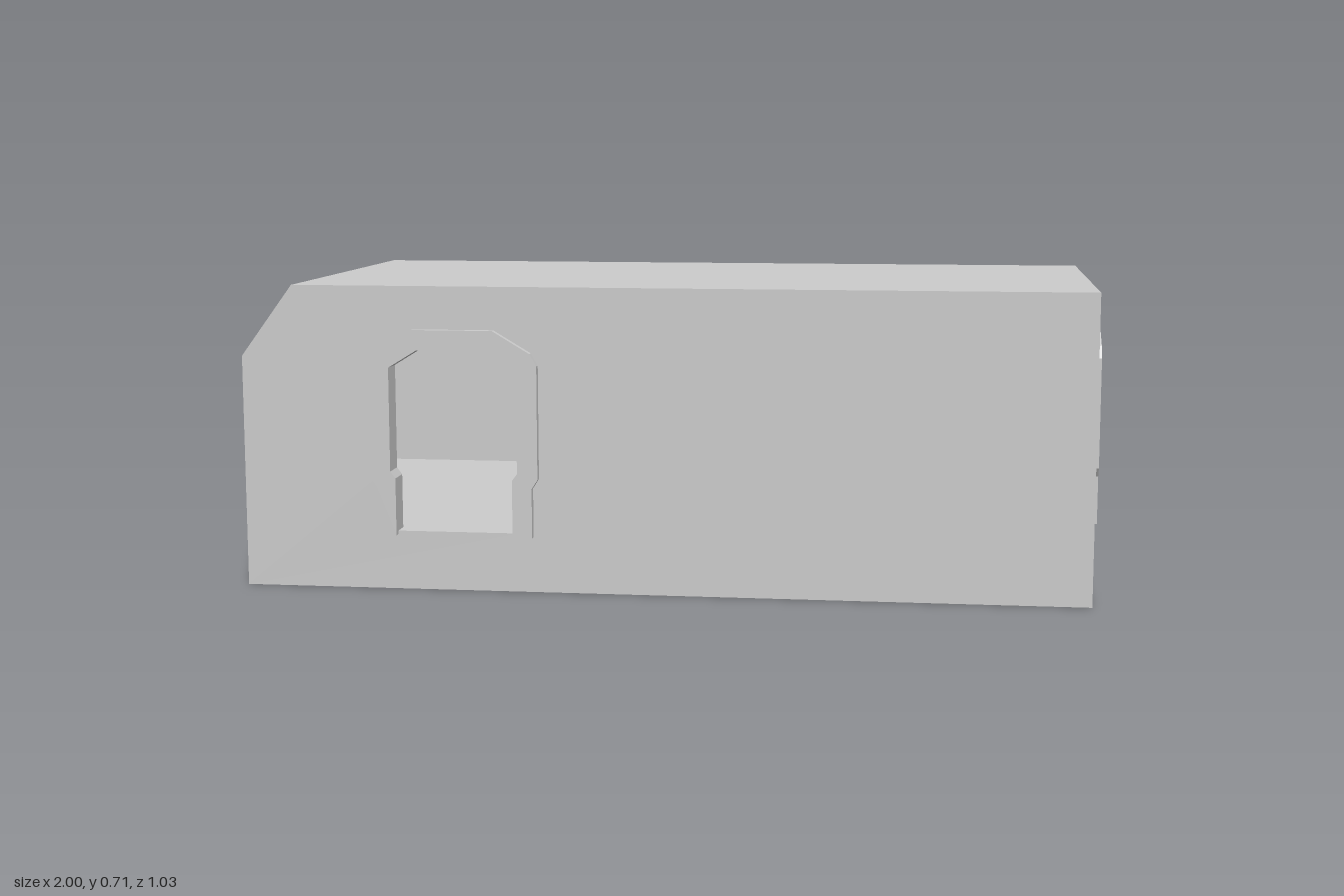
import * as THREE from 'three';

const material = new THREE.MeshStandardMaterial({ color: 0xcccccc, flatShading: true, side: THREE.DoubleSide });

// Main planes of the building
const LEFT = 0.97, RIGHT = -1, FRONT = 0.496, BACK = -0.513;
const TOP = 0.712, EAVE = 0.545, FLOOR = 0.138;
const RIDGE_X = -0.877, RIDGE_Z = -0.393;

// Half outlines of the doorway frame, [half width, height], from foot to crown
const OUTER = [[0.184, 0.13], [0.184, 0.246], [0.198, 0.268], [0.198, 0.532], [0.182, 0.56], [0.095, 0.612]];
const INNER = [[0.138, 0.13], [0.138, 0.265], [0.15, 0.281], [0.15, 0.524], [0.083, 0.565]];
const FRAME_DEPTH = 0.06;

const toShape = (pts, Type = THREE.Shape) => new Type(pts.map(([x, y]) => new THREE.Vector2(x, y)));
const flip = (pts) => pts.map(([x, y]) => [-x, y]).reverse();
const arch = (half) => [...half, ...flip(half)];
const shift = (pts, dx) => pts.map(([x, y]) => [x + dx, y]);

function addMesh(parent, name, geometry) {
  const mesh = new THREE.Mesh(geometry, material);
  mesh.name = name;
  parent.add(mesh);
  return mesh;
}

// Flat four-cornered panel, corners counter-clockwise from outside
function quad(a, b, c, d) {
  const g = new THREE.BufferGeometry();
  g.setAttribute('position', new THREE.Float32BufferAttribute([a, b, c, a, c, d].flat(), 3));
  g.computeVertexNormals();
  return g;
}

// Thin wall with a doorway cut in it and a raised frame, facing +z
function doorWall(name, outline, doorX, protrusion) {
  const group = new THREE.Group();
  group.name = name;
  const wall = toShape(outline);
  const opening = INNER.map(([x, y], i) => [x + 0.008, i ? y + 0.006 : FLOOR]);
  wall.holes.push(toShape(shift(arch(opening), doorX), THREE.Path));
  addMesh(group, name + 'Panel', new THREE.ShapeGeometry(wall));

  const band = toShape([...arch(OUTER), ...arch(INNER).reverse()]);
  const frame = new THREE.ExtrudeGeometry(band, { depth: FRAME_DEPTH, bevelEnabled: false });
  addMesh(group, name + 'DoorFrame', frame).position.set(doorX, 0, protrusion - FRAME_DEPTH);
  return group;
}

export function createModel() {
  const model = new THREE.Group();
  model.name = 'building';

  // Walls with doorways
  const front = doorWall('frontWall',
    [[RIGHT, 0], [LEFT, 0], [LEFT, TOP], [RIDGE_X, TOP], [RIGHT, EAVE]], -0.495, 0.018);
  front.position.z = FRONT;
  const side = doorWall('leftWall',
    [[-FRONT, 0], [-BACK, 0], [-BACK, EAVE], [-RIDGE_Z, TOP], [-FRONT, TOP]], 0.008, 0.03);
  side.rotation.y = Math.PI / 2;
  side.position.x = LEFT;
  model.add(front, side);

  // Plain walls
  addMesh(model, 'backWall', quad([LEFT, 0, BACK], [RIGHT, 0, BACK], [RIGHT, EAVE, BACK], [LEFT, EAVE, BACK]));
  addMesh(model, 'rightWall', quad([RIGHT, 0, BACK], [RIGHT, 0, FRONT], [RIGHT, EAVE, FRONT], [RIGHT, EAVE, BACK]));

  // Roof and its two sloped edges
  addMesh(model, 'roof',
    quad([RIDGE_X, TOP, FRONT], [LEFT, TOP, FRONT], [LEFT, TOP, RIDGE_Z], [RIDGE_X, TOP, RIDGE_Z]));
  addMesh(model, 'backSlope',
    quad([LEFT, EAVE, BACK], [RIGHT, EAVE, BACK], [RIDGE_X, TOP, RIDGE_Z], [LEFT, TOP, RIDGE_Z]));
  addMesh(model, 'rightSlope',
    quad([RIGHT, EAVE, BACK], [RIGHT, EAVE, FRONT], [RIDGE_X, TOP, FRONT], [RIDGE_X, TOP, RIDGE_Z]));

  // Raised floor, open underneath
  addMesh(model, 'floor',
    quad([RIGHT, FLOOR, FRONT], [LEFT, FLOOR, FRONT], [LEFT, FLOOR, BACK], [RIGHT, FLOOR, BACK]));

  return model;
}
